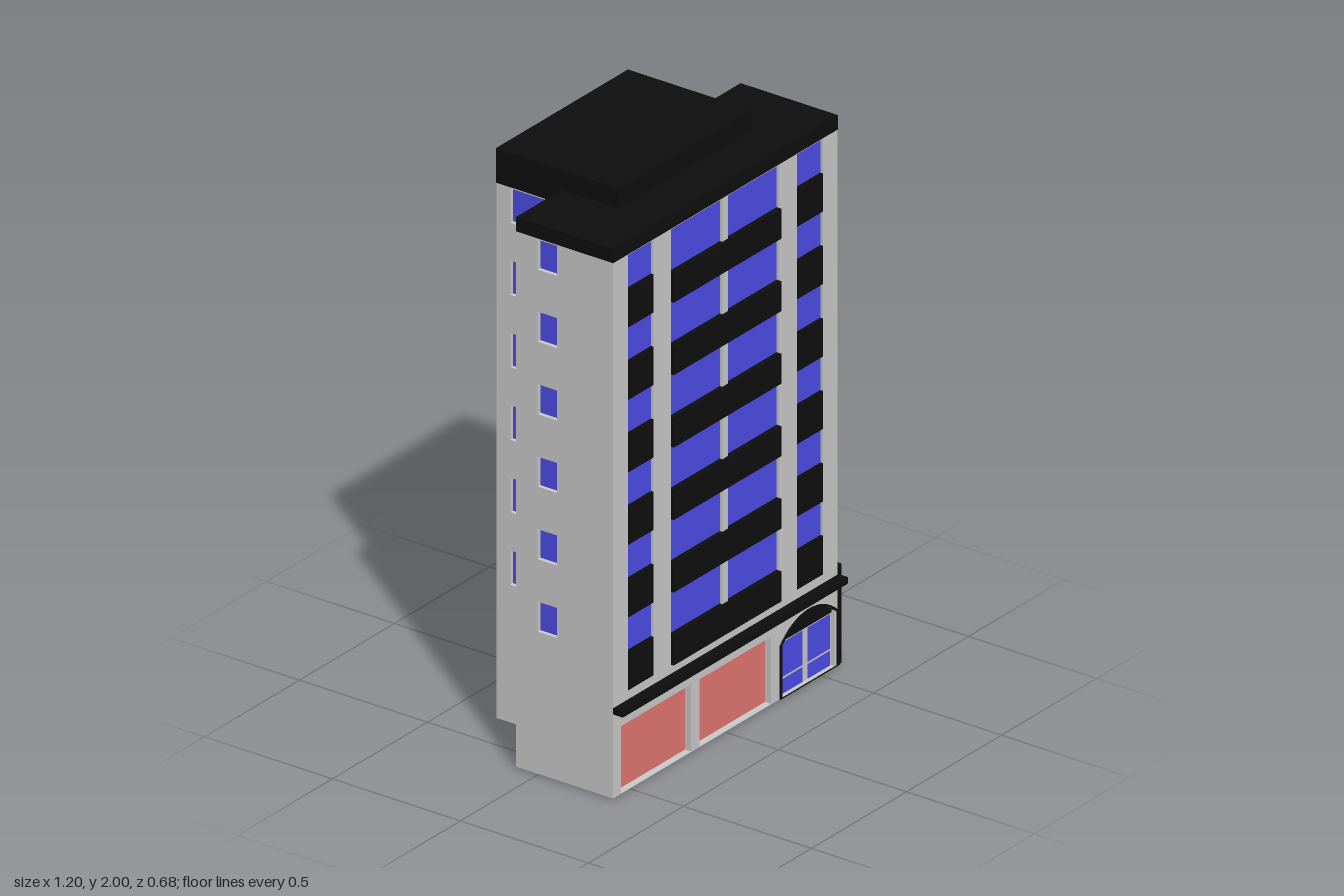
import * as THREE from 'three';

const mat = (color) => new THREE.MeshStandardMaterial({ color, side: THREE.DoubleSide });
const FLOORS = 6, STEP = 0.2535, HEAD = 0.61; // storeys, storey height, first window head
const BASE = 0.008, EAVES = 1.88;

export function createModel() {
  const model = new THREE.Group();
  const grey = mat(0xcccccc), black = mat(0x0e0e0e), blue = mat(0x4e4de8), red = mat(0xe57772);

  // Box given by its extents
  function box(name, x0, x1, y0, y1, z0, z1, material, parent = model) {
    const mesh = new THREE.Mesh(new THREE.BoxGeometry(x1 - x0, y1 - y0, z1 - z0), material);
    mesh.position.set((x0 + x1) / 2, (y0 + y1) / 2, (z0 + z1) / 2);
    mesh.name = name;
    parent.add(mesh);
  }

  // Flat panel facing local +z
  function panel(name, x0, x1, y0, y1, z, material, parent) {
    const mesh = new THREE.Mesh(new THREE.PlaneGeometry(x1 - x0, y1 - y0), material);
    mesh.position.set((x0 + x1) / 2, (y0 + y1) / 2, z);
    mesh.name = name;
    parent.add(mesh);
  }

  function rectPath(PathClass, x0, x1, y0, y1) {
    return new PathClass([[x0, y0], [x1, y0], [x1, y1], [x0, y1]].map((p) => new THREE.Vector2(...p)));
  }

  // Wall with openings; its outer face lies on local z = 0
  function wall(name, x0, x1, holes, thickness, turn = 0, px = 0, pz = 0) {
    const group = new THREE.Group();
    group.name = name;
    const shape = rectPath(THREE.Shape, x0, x1, BASE, EAVES);
    shape.holes.push(...holes);
    const geometry = new THREE.ExtrudeGeometry(shape, { depth: thickness, bevelEnabled: false });
    geometry.translate(0, 0, -thickness);
    const mesh = new THREE.Mesh(geometry, grey);
    mesh.name = name + 'Surface';
    group.add(mesh);
    group.rotation.y = turn;
    group.position.set(px, 0, pz);
    model.add(group);
    return group;
  }

  // Side wall with one window per storey; side is +1 or -1
  function sideWall(name, side, x, zBack, zFront, w0, w1, height) {
    const u = (a, b) => (side > 0 ? [-b, -a] : [a, b]);
    const [a, b] = u(zBack, zFront), [wa, wb] = u(w0, w1);
    const rows = Array.from({ length: FLOORS }, (_, i) => Math.min(HEAD + i * STEP, EAVES - 0.004));
    const holes = rows.map((top) => rectPath(THREE.Path, wa, wb, top - height, top));
    const group = wall(name, a, b, holes, 0.015, side * Math.PI / 2, x, 0);
    rows.forEach((top) => panel('sideWindow', wa, wb, top - height, top, -0.014, blue, group));
  }

  // Door opening: straight jambs under a shallow arch
  const D0 = 0.285, D1 = 0.575, SPRING = 0.195, RISE = 0.067;
  function archTop(path, x0, x1, rise) {
    const half = (x1 - x0) / 2, r = (half * half + rise * rise) / (2 * rise);
    const a = Math.asin(half / r);
    path.absarc((x0 + x1) / 2, SPRING + rise - r, r, Math.PI / 2 - a, Math.PI / 2 + a, false);
  }
  function doorPath(PathClass, x0, x1, y0, rise) {
    const path = new PathClass();
    path.moveTo(x0, y0);
    path.lineTo(x1, y0);
    path.lineTo(x1, SPRING);
    archTop(path, x0, x1, rise);
    path.lineTo(x0, y0);
    return path;
  }

  // Front wall with window bays, shop openings and the entrance
  const bays = [[-0.522, -0.388], [-0.295, 0.273], [0.367, 0.503]];
  const shops = [[-0.56, -0.19], [-0.145, 0.23]];
  const front = wall('frontWall', -0.6, 0.58, [
    ...bays.map(([a, b]) => rectPath(THREE.Path, a, b, 0.355, EAVES - 0.002)),
    ...shops.map(([a, b]) => rectPath(THREE.Path, a, b, BASE + 0.002, 0.245)),
    doorPath(THREE.Path, D0, D1, BASE + 0.002, RISE - 0.004),
  ], 0.025, 0, 0, 0.3);

  // Glazing and spandrels of each bay
  bays.forEach(([a, b], k) => {
    const centre = k === 1;
    panel('bayGlass', a, b, 0.355, EAVES, -0.01, blue, front);
    for (let i = 0; i < FLOORS; i++) {
      const y0 = i ? HEAD + (i - 1) * STEP : 0.355;
      const y1 = HEAD + i * STEP - (centre ? 0.15 : 0.12);
      box('spandrel', a, b, y0, y1, -0.012, centre ? 0.01 : 0, black, front);
    }
  });
  for (let i = 0; i < FLOORS; i++) {
    const top = HEAD + i * STEP;
    box('mullion', -0.026, 0.003, top - 0.15, Math.min(top, EAVES), -0.012, 0, grey, front);
  }
  shops.forEach(([a, b]) => panel('shopPanel', a, b, BASE, 0.245, -0.024, red, front));

  // Arched entrance: black surround, black fanlight and double doors
  const ring = doorPath(THREE.Shape, D0 - 0.01, D1 + 0.01, BASE, RISE + 0.003);
  ring.holes.push(doorPath(THREE.Path, D0, D1, BASE + 0.001, RISE - 0.004));
  const surround = new THREE.Mesh(
    new THREE.ExtrudeGeometry(ring, { depth: 0.027, bevelEnabled: false }), black);
  surround.position.z = -0.022;
  surround.name = 'doorSurround';
  front.add(surround);

  const fan = new THREE.Shape();
  fan.moveTo(D0, SPRING);
  fan.lineTo(D1, SPRING);
  archTop(fan, D0, D1, RISE - 0.004);
  const fanlight = new THREE.Mesh(new THREE.ShapeGeometry(fan), black);
  fanlight.position.z = -0.012;
  fanlight.name = 'fanlight';
  front.add(fanlight);

  box('doorFrame', D0, D1, 0, SPRING, -0.025, -0.015, grey, front);
  for (const [a, b] of [[0.297, 0.415], [0.44, 0.56]]) {
    panel('doorLowerPane', a, b, 0.01, 0.062, -0.014, blue, front);
    panel('doorUpperPane', a, b, 0.069, 0.19, -0.014, blue, front);
  }

  // Side walls of the front block and of the rear wing
  sideWall('leftWall', 1, 0.58, -0.08, 0.3, 0.005, 0.08, 0.105);
  sideWall('rightWall', -1, -0.6, -0.08, 0.3, 0.005, 0.08, 0.105);
  sideWall('leftWingWall', 1, 0.335, -0.335, -0.08, -0.28, -0.12, 0.12);
  sideWall('rightWingWall', -1, -0.36, -0.335, -0.08, -0.28, -0.12, 0.12);

  // Plain back walls
  wall('wingBackWall', -0.335, 0.36, [], 0.01, Math.PI, 0, -0.335);
  wall('leftBackWall', -0.58, -0.335, [], 0.01, Math.PI, 0, -0.08);
  wall('rightBackWall', 0.36, 0.6, [], 0.01, Math.PI, 0, -0.08);

  // Roof slabs and penthouse
  box('roofSlab', -0.6, 0.582, EAVES, 1.93, -0.08, 0.3, black);
  box('wingRoofSlab', -0.36, 0.335, EAVES, 1.93, -0.337, -0.08, black);
  box('penthouse', -0.36, 0.335, 1.93, 2, -0.337, 0.145, black);

  // Canopy over the shops and black cladding on the left base
  box('canopy', -0.6, 0.585, 0.302, 0.324, 0.3, 0.338, black);
  box('baseCladding', 0.581, 0.6, BASE, 0.355, -0.08, 0.3, black);
  return model;
}
